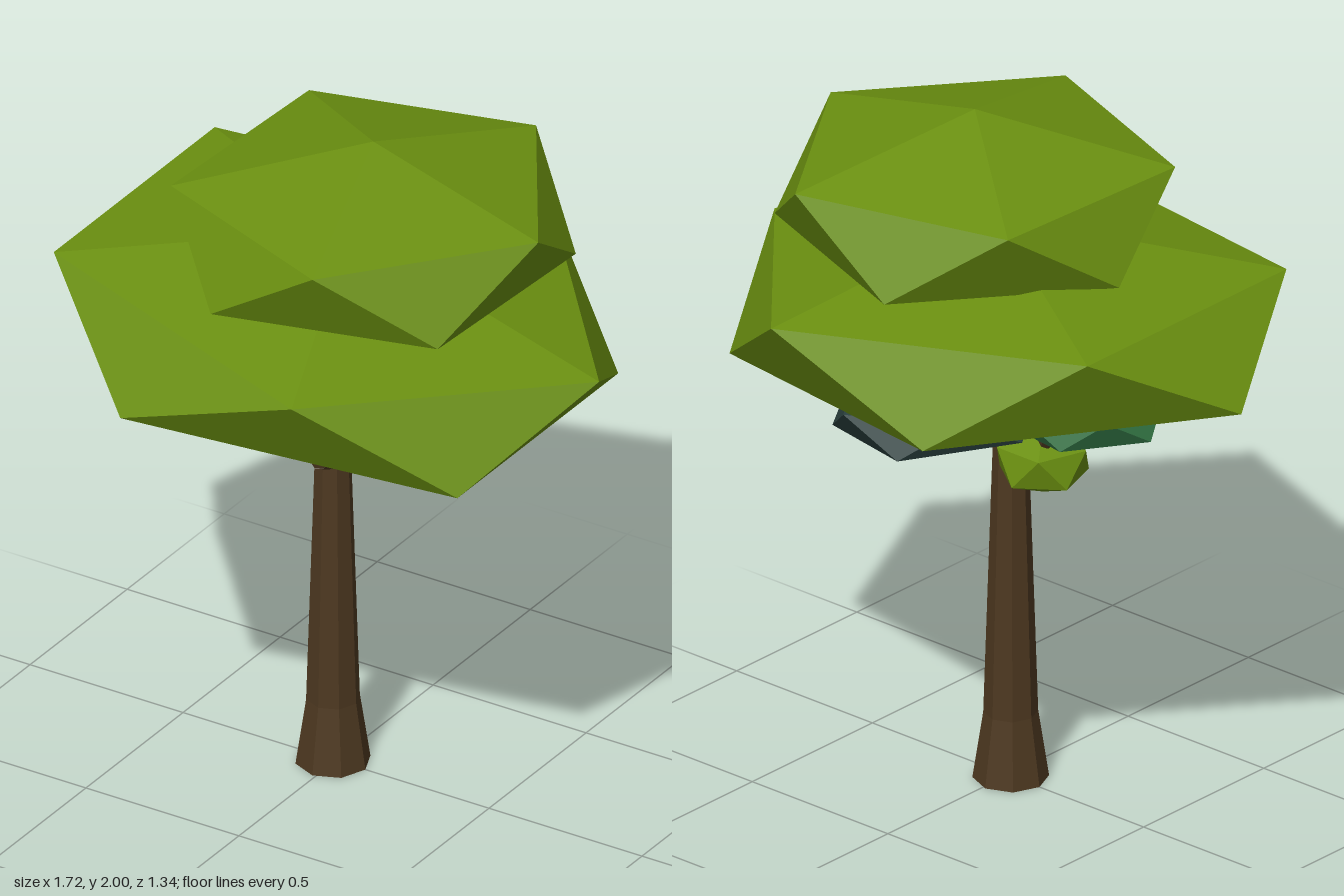
import * as THREE from 'three';
import { ConvexGeometry } from 'three/addons/geometries/ConvexGeometry.js';

const V = (x, y, z) => new THREE.Vector3(x, y, z);
const flat = (color) => new THREE.MeshStandardMaterial({ color, flatShading: true });
const bark = flat(0x4d3820);
bark.side = THREE.DoubleSide;
const leaf = flat(0x6a8f10);
const fern = flat(0x2f6e40);
const slate = flat(0x2a403e);

// Squashed and tilted icosahedron: a tip at each end of the axis and two
// staggered rings of five. u and w span the rings, axis reaches the tip.
function leafClump(name, material, center, u, axis, w) {
  const points = [];
  for (const s of [1, -1]) {
    points.push(center.clone().addScaledVector(axis, s));
    for (let i = 0; i < 5; i++) {
      const a = (i * Math.PI * 2) / 5;
      points.push(center.clone()
        .addScaledVector(u, s * Math.cos(a))
        .addScaledVector(w, s * Math.sin(a))
        .addScaledVector(axis, s * 0.447));
    }
  }
  const mesh = new THREE.Mesh(new ConvexGeometry(points), material);
  mesh.name = name;
  return mesh;
}

// Tapered six-sided limbs joined end to end
function branch(name, points, radii) {
  const group = new THREE.Group();
  group.name = name;
  for (let i = 0; i < points.length - 1; i++) {
    const dir = points[i + 1].clone().sub(points[i]);
    const limb = new THREE.Mesh(
      new THREE.CylinderGeometry(radii[i + 1], radii[i], dir.length() + 0.012, 6), bark);
    limb.name = name + 'Segment';
    limb.position.copy(points[i]).addScaledVector(dir, 0.5);
    limb.quaternion.setFromUnitVectors(V(0, 1, 0), dir.normalize());
    group.add(limb);
  }
  return group;
}

export function createModel() {
  const tree = new THREE.Group();
  tree.name = 'tree';

  // Trunk with a flared foot
  const profile = [[0, 0], [0.106, 0], [0.076, 0.2], [0.052, 0.95], [0.043, 1.2], [0, 1.2]]
    .map(([r, y]) => new THREE.Vector2(r, y));
  const trunk = new THREE.Mesh(new THREE.LatheGeometry(profile, 8), bark);
  trunk.name = 'trunk';
  trunk.position.x = -0.01;
  tree.add(trunk);

  // Branches
  tree.add(
    branch('frontBranch', [V(-0.01, 0.95, 0), V(0.085, 1.08, 0.22), V(0.1, 1.22, 0.26)],
      [0.03, 0.024, 0.02]),
    branch('rearBranch', [V(-0.01, 0.95, 0), V(-0.16, 1.01, -0.06), V(-0.25, 1.15, -0.12)],
      [0.03, 0.024, 0.02]));

  // Foliage
  tree.add(
    leafClump('mainCanopy', leaf, V(0, 1.42, 0),
      V(0.84, -0.082, 0), V(0.045, 0.277, 0), V(0, 0, 0.705)),
    leafClump('upperCanopy', leaf, V(0.122, 1.752, 0),
      V(0.558, 0, 0.03), V(0, 0.248, 0), V(-0.03, 0, 0.558)),
    leafClump('darkClump', slate, V(0.1, 1.165, -0.175),
      V(0.3, -0.03, 0), V(0.015, 0.11, 0), V(0, 0, 0.3)),
    leafClump('greenClump', fern, V(-0.29, 1.212, -0.01),
      V(0.24, -0.022, 0), V(0.012, 0.09, 0), V(0, 0, 0.2)),
    leafClump('smallClump', leaf, V(-0.195, 1.06, -0.075),
      V(0, 0, 0.13), V(0, 0.103, 0), V(-0.13, 0, 0)));
  return tree;
}
